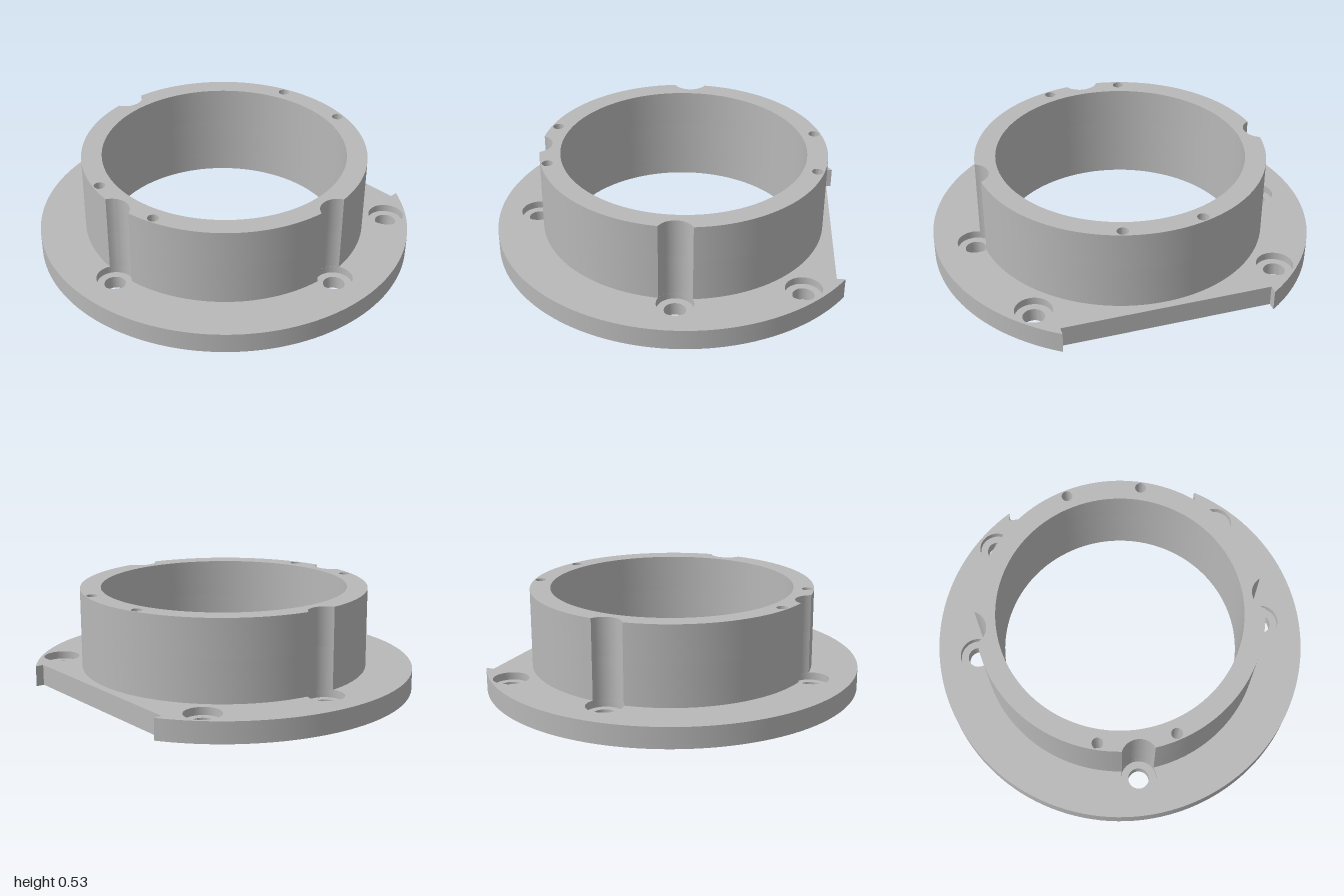
import * as THREE from 'three';
import { toCreasedNormals } from 'three/addons/utils/BufferGeometryUtils.js';

const CENTRE_X = 0.077;               // axis of the bore
const BORE = 0.647, COLLAR = 0.755, FLANGE = 1;
const LEDGE_Y = 0.07, FLANGE_Y = 0.11, DOWEL_Y = 0.33, TOP_Y = 0.53;
const BOLT = 0.055, BOLT_HEAD = 0.094, BOLT_CIRCLE = 0.79;

// Bolt positions: three beside the collar, two near the flat edge
const bolts = [[0, BOLT_CIRCLE], [-BOLT_CIRCLE, 0], [0, -BOLT_CIRCLE], [0.63, 0.63], [0.63, -0.63]];
const dowels = [[0.692, 0.2], [0.692, -0.2], [-0.692, 0.2], [-0.692, -0.2]];

// Points along an arc from angle a to angle b
function arc(cx, cy, r, a, b, n) {
  return Array.from({ length: n + 1 }, (_, i) => {
    const t = a + (b - a) * i / n;
    return new THREE.Vector2(cx + r * Math.cos(t), cy + r * Math.sin(t));
  });
}

function circle(x, y, r, n) {
  return new THREE.Path(arc(x, y, r, 0, -2 * Math.PI, n).slice(0, -1));
}

// Flange: a disc with a recessed flat on its left side
function flangeOutline() {
  const a = Math.asin(0.54);
  return [
    ...arc(0, 0, FLANGE, a, 2 * Math.PI - a, 112),
    new THREE.Vector2(0.798, -0.54),
    new THREE.Vector2(0.798, 0.54),
  ];
}

// Collar: a circle with three round grooves that clear the bolt heads
function collarOutline() {
  const along = (COLLAR ** 2 + BOLT_CIRCLE ** 2 - BOLT_HEAD ** 2) / (2 * BOLT_CIRCLE);
  const half = Math.acos(along / COLLAR);
  const sweep = Math.acos((BOLT_CIRCLE - along) / BOLT_HEAD);
  const points = [];
  let from = -Math.PI / 2 + half;
  for (const t of [Math.PI / 2, Math.PI, Math.PI * 1.5]) {
    points.push(...arc(0, 0, COLLAR, from, t - half, t < 2 ? 60 : 30));
    const cx = BOLT_CIRCLE * Math.cos(t), cy = BOLT_CIRCLE * Math.sin(t);
    points.push(...arc(cx, cy, BOLT_HEAD, t + Math.PI + sweep, t + Math.PI - sweep, 20).slice(1, -1));
    from = t + half;
  }
  return points;
}

export function createModel() {
  const model = new THREE.Group();
  model.name = 'flangedCollar';
  const metal = new THREE.MeshStandardMaterial({ color: 0xb8b8b8 });
  metal.name = 'grey metal';

  // Extrudes an outline upward between two heights, with the bore and other holes
  function layer(name, outline, y0, y1, holes, r) {
    const shape = new THREE.Shape(outline);
    shape.holes.push(circle(0, 0, BORE, 120));
    for (const [x, y] of holes) shape.holes.push(circle(x, y, r, 32));
    const geometry = new THREE.ExtrudeGeometry(shape, { depth: y1 - y0, bevelEnabled: false });
    geometry.rotateX(-Math.PI / 2).translate(CENTRE_X, y0, 0);
    const mesh = new THREE.Mesh(toCreasedNormals(geometry, 0.5), metal);
    mesh.name = name;
    model.add(mesh);
  }

  layer('flangeBase', flangeOutline(), 0, LEDGE_Y, bolts, BOLT);
  layer('flangeCounterbores', flangeOutline(), LEDGE_Y, FLANGE_Y, bolts, BOLT_HEAD);
  layer('collarBody', collarOutline(), FLANGE_Y, DOWEL_Y, [], 0);
  layer('collarTop', collarOutline(), DOWEL_Y, TOP_Y, dowels, 0.029);
  return model;
}
